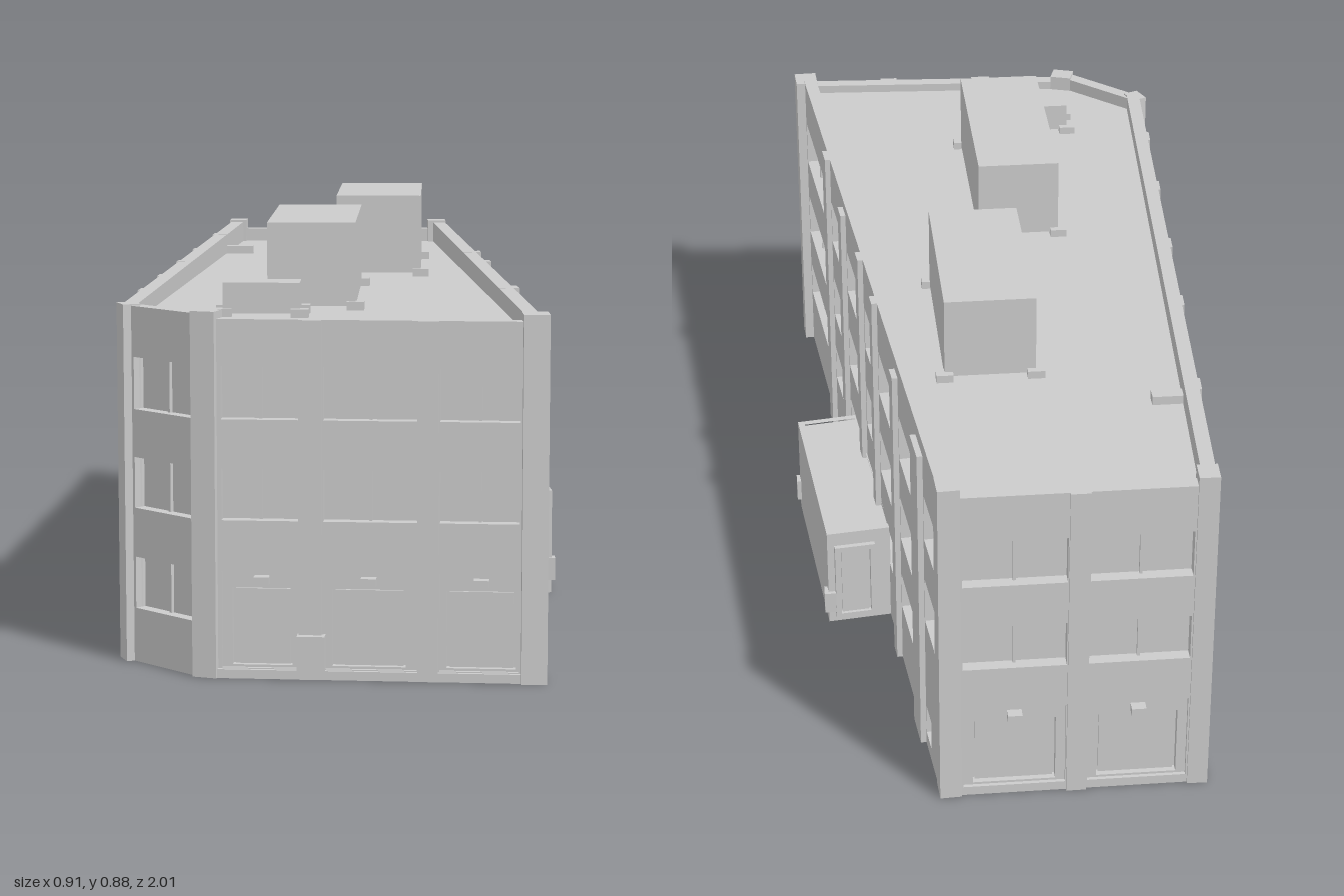
import * as THREE from 'three';

const material = new THREE.MeshStandardMaterial({ color: 0xcccccc, flatShading: true });

function add(parent, name, geometry, x = 0, y = 0, z = 0) {
  const mesh = new THREE.Mesh(geometry, material);
  mesh.name = name;
  mesh.position.set(x, y, z);
  parent.add(mesh);
  return mesh;
}

const box = (parent, name, w, h, d, x, y, z) =>
  add(parent, name, new THREE.BoxGeometry(w, h, d), x, y, z);

// Box given by its limits
const span = (parent, name, x0, x1, y0, y1, z0, z1) =>
  box(parent, name, x1 - x0, y1 - y0, z1 - z0, (x0 + x1) / 2, (y0 + y1) / 2, (z0 + z1) / 2);

// Upright prism over a plan outline of [x, z] points, with an optional opening
function prism(outline, height, opening) {
  const points = (list) => list.map(([x, z]) => new THREE.Vector2(x, -z));
  const shape = new THREE.Shape(points(outline));
  if (opening) shape.holes.push(new THREE.Path(points(opening)));
  return new THREE.ExtrudeGeometry(shape, { depth: height, bevelEnabled: false }).rotateX(-Math.PI / 2);
}

// Rectangle whose top may slope from y1 (at x0) to y2 (at x1)
const rect = (C, [x0, x1, y0, y1, y2 = y1]) => new C([[x0, y0], [x1, y0], [x1, y2], [x0, y1]]
  .map(([x, y]) => new THREE.Vector2(x, y)));

// Flat panel with rectangular openings; its front lies at z = 0
function panel(limits, openings, depth) {
  const shape = rect(THREE.Shape, limits);
  openings.forEach((o) => shape.holes.push(rect(THREE.Path, o)));
  return new THREE.ExtrudeGeometry(shape, { depth, bevelEnabled: false }).translate(0, 0, -depth);
}

const UPPER = [[0.515, 0.62], [0.315, 0.418]];
const ALL = [...UPPER, [0.138, 0.222]];

// One facade from p to q (outside faces local +z); positions are given along a world axis
function facade(root, name, p, q, axis, tops, { bays, pilasters = [], proud = 0, doors = [] }) {
  const g = new THREE.Group();
  g.name = name;
  const dx = q[0] - p[0], dz = q[1] - p[1], length = Math.hypot(dx, dz);
  g.position.set(p[0], 0, p[1]);
  g.rotation.y = Math.atan2(-dz, dx);
  root.add(g);
  const along = (v) => (v - p[axis]) / (q[axis] - p[axis]) * length;
  const pair = (a, b) => [along(a), along(b)].sort((m, n) => m - n);

  const openings = [];
  bays.forEach(({ at, rows }) => {
    const [a, b] = pair(...at);
    rows.forEach(([y0, y1]) => {
      openings.push([a, b, y0, y1]);
      // Mullions inside the recess
      const panes = Math.max(2, Math.round((b - a) / 0.1));
      for (let i = 1; i < panes; i++) {
        box(g, 'mullion', 0.006, y1 - y0, 0.012, a + (b - a) * i / panes, (y0 + y1) / 2, -0.024);
      }
    });
  });

  // Loading bays: recessed infill, door leaf, lamp above
  doors.forEach(({ bay, door }) => {
    const [a, b] = pair(...bay), [c, d] = pair(...door);
    openings.push([a, b, 0.02, 0.215]);
    add(g, 'doorSurround', panel([a, b, 0.02, 0.215], [[c, d, 0.025, 0.18]], 0.02), 0, 0, -0.008);
    span(g, 'loadingDoor', c + 0.005, d - 0.005, 0.025, 0.176, -0.03, -0.02);
    box(g, 'doorLamp', 0.03, 0.016, 0.025, (c + d) / 2, 0.197, 0.002);
  });

  add(g, 'wall', panel([0, length, 0, ...tops], openings, 0.03));
  pilasters.forEach(([a, b, y0 = 0, y1]) => {
    const [c, d] = pair(a, b);
    const top = y1 ?? THREE.MathUtils.lerp(tops[0], tops[1], (c + d) / 2 / length);
    span(g, 'pilaster', c, d, y0, top, -0.03, proud);
  });
  return g;
}

export function createModel() {
  const root = new THREE.Group();
  root.name = 'warehouse';
  const A = [-0.28, 0.95], B = [0.385, 0.985], C = [0.2, -0.994], D = [-0.345, -0.994], E = [-0.44, 0.8];

  // Inner core: recessed glazing plane and roof deck
  add(root, 'coreAndRoof', prism([[-0.27, 0.925], [0.357, 0.958], [0.177, -0.968], [-0.321, -0.968], [-0.414, 0.79]], 0.693));

  // Front
  const front = facade(root, 'frontFacade', A, B, 0, [0.712, 0.712], {
    bays: [[-0.235, -0.083], [-0.035, 0.148], [0.192, 0.348]].map((at) => ({ at, rows: UPPER })),
    pilasters: [[-0.083, -0.038], [0.15, 0.19]],
    proud: 0.009,
    doors: [
      { bay: [-0.235, -0.083], door: [-0.215, -0.097] },
      { bay: [-0.035, 0.148], door: [-0.018, 0.126] },
      { bay: [0.192, 0.348], door: [0.206, 0.342] },
    ],
  });
  span(front, 'doorstep', 0.02, 0.64, 0, 0.018, -0.01, 0.008);
  box(front, 'utilityBox', 0.055, 0.07, 0.03, 0.222, 0.055, 0.01);

  // Long side on +x
  const sideBays = [[0.93, 0.55], [0.49, 0.295], [0.24, 0.025], [-0.03, -0.185], [-0.23, -0.455], [-0.505, -0.72]];
  facade(root, 'leftFacade', B, C, 1, [0.727, 0.743], {
    bays: [
      ...sideBays.map((at) => ({ at, rows: ALL })),
      { at: [-0.815, -0.93], rows: UPPER },
      { at: [-0.815, -0.875], rows: [[0.03, 0.1]] },
    ],
    pilasters: [[0.545, 0.495], [0.29, 0.245, 0.04, 0.71], [0.018, -0.022], [-0.19, -0.225],
      [-0.46, -0.5, 0, 0.71], [-0.725, -0.81, 0, 0.71]],
    proud: 0.012,
  });

  // Back
  facade(root, 'backFacade', C, D, 0, [0.725, 0.725], {
    bays: [[-0.305, -0.1], [-0.055, 0.155]].map((at) => ({ at, rows: UPPER })),
    pilasters: [[-0.098, -0.057]],
    proud: 0.006,
    doors: [
      { bay: [-0.305, -0.1], door: [-0.285, -0.12] },
      { bay: [-0.055, 0.155], door: [-0.035, 0.135] },
    ],
  });

  // Long side on -x
  const posts = [-0.63, -0.27, 0, 0.29, 0.56];
  const ends = [-0.965, ...posts, 0.79];
  facade(root, 'rightFacade', D, E, 1, [0.743, 0.725], {
    bays: ends.slice(1).map((z, i) => ({ at: [ends[i] + 0.032, z - 0.032], rows: ALL })),
    pilasters: posts.map((z) => [z - 0.022, z + 0.022]),
    proud: 0.005,
  });

  // Chamfered corner
  facade(root, 'chamferFacade', E, A, 0, [0.722, 0.722], {
    bays: [{ at: [-0.418, -0.296], rows: [...UPPER, [0.11, 0.215]] }],
  });

  // Corner posts: x, z, width, depth, top, turn
  [
    [-0.264, 0.935, 0.05, 0.045, 0.727, -0.3],
    [0.377, 0.968, 0.052, 0.06, 0.727, 0.05],
    [0.182, -0.975, 0.045, 0.05, 0.747, 0.05],
    [-0.33, -0.975, 0.042, 0.05, 0.747, -0.03],
    [-0.43, 0.795, 0.036, 0.045, 0.725, 0.4],
  ].forEach(([x, z, w, d, h, turn]) => {
    box(root, 'cornerPost', w, h, d, x, h / 2, z).rotation.y = turn;
  });

  // Rooftop units on corner pads
  [
    ['frontRoofUnit', -0.163, 0.018, 0.142, 0.615, 0.872],
    ['rearRoofUnit', -0.045, 0.147, -0.485, -0.075, 0.876],
    ['smallRoofUnit', -0.245, -0.09, 0.675, 0.752, 0.762],
  ].forEach(([name, x0, x1, z0, z1, top]) => {
    const unit = new THREE.Group();
    unit.name = name;
    root.add(unit);
    span(unit, 'body', x0, x1, 0.7, top, z0, z1);
    for (const x of [x0, x1]) for (const z of [z0, z1]) {
      box(unit, 'pad', 0.036, 0.02, 0.03, x, 0.7, z);
    }
  });
  span(root, 'roofLedge', -0.335, -0.27, 0.69, 0.712, -0.63, -0.6);

  // Side annex with a low rim and a framed doorway at each end
  const plan = [[0.26, -0.335], [0.4, -0.352], [0.445, 0.13], [0.31, 0.15]];
  const inner = [[0.262, -0.32], [0.388, -0.335], [0.43, 0.117], [0.312, 0.135]];
  const annex = new THREE.Group();
  annex.name = 'annex';
  root.add(annex);
  add(annex, 'annexBody', prism(plan, 0.22));
  add(annex, 'annexRim', prism(plan, 0.02, inner), 0, 0.212, 0);
  [[0.38, 0.14, 0.14], [0.34, -0.345, Math.PI + 0.12]].forEach(([x, z, turn]) => {
    const door = new THREE.Group();
    door.name = 'annexDoorway';
    door.position.set(x, 0, z);
    door.rotation.y = turn;
    annex.add(door);
    add(door, 'doorFrame', panel([-0.045, 0.045, 0.015, 0.2], [[-0.034, 0.034, 0.025, 0.188]], 0.014), 0, 0, 0.011);
    span(door, 'doorLeaf', -0.03, 0.03, 0.025, 0.184, -0.005, 0.004);
  });
  [[0.437, 0.125], [0.393, -0.345]].forEach(([x, z]) => box(annex, 'cornerGuard', 0.032, 0.05, 0.03, x, 0.055, z));

  return root;
}
